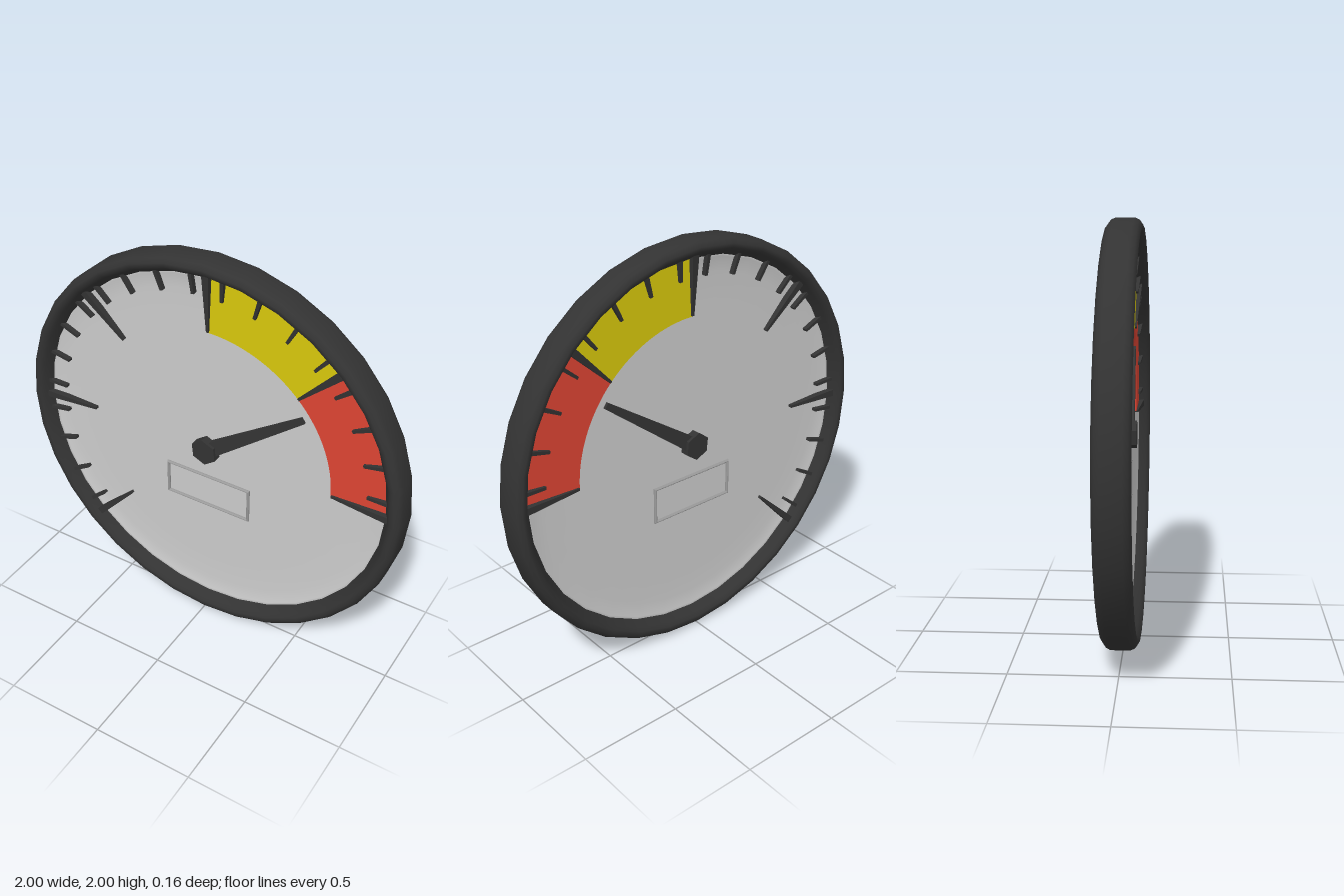
import * as THREE from 'three';

const DARK = 0x333333;
const mat = (color, flatShading = false) => new THREE.MeshStandardMaterial({ color, flatShading });

export function createModel() {
  const gauge = new THREE.Group();
  gauge.name = 'gauge';
  const dark = mat(DARK), darkFlat = mat(DARK, true);
  const add = (name, geometry, material) => {
    const mesh = new THREE.Mesh(geometry, material);
    mesh.name = name;
    gauge.add(mesh);
    return mesh;
  };
  // Surface of revolution about z, profile given as [radius, z]
  const turned = (profile) =>
    new THREE.LatheGeometry(profile.map(([r, z]) => new THREE.Vector2(r, z)), 32).rotateX(Math.PI / 2);

  // Radial bar from r0 to r1 that changes width and depth along its length
  const bar = (r0, r1, w0, w1, d0, d1, degrees) => {
    const g = new THREE.BoxGeometry(1, 1, 1);
    const p = g.attributes.position;
    for (let i = 0; i < p.count; i++) {
      const inner = p.getX(i) < 0;
      p.setXYZ(i, inner ? r0 : r1, p.getY(i) * (inner ? w0 : w1), p.getZ(i) * (inner ? d0 : d1));
    }
    g.computeVertexNormals();
    return g.rotateZ(THREE.MathUtils.degToRad(degrees));
  };

  // Rounded outer rim, the same front and back
  const half = [[1, 0], [1, 0.045], [0.99, 0.066], [0.97, 0.08], [0.95, 0.078], [0.935, 0.06], [0.905, 0.015]];
  const back = half.slice(1).reverse().map(([r, z]) => [r, -z]);
  add('rim', turned([...back, ...half, back[0]]), dark);

  // Thin dial that is slightly dished towards the rim, seen from both sides
  const dish = [[0.93, 0.03], [0.9, 0.018], [0.83, 0.011], [0.7, 0.01], [0, 0.01]];
  add('dial', turned([...dish.map(([r, z]) => [r, -z]).reverse(), ...dish]), mat(0xcccccc));

  // Coloured warning zones
  const zone = (name, from, to, color) => {
    const a = THREE.MathUtils.degToRad(from), b = THREE.MathUtils.degToRad(to);
    const s = new THREE.Shape();
    s.absarc(0, 0, 0.91, a, b, false);
    s.absarc(0, 0, 0.64, b, a, true);
    const g = new THREE.ExtrudeGeometry(s, { depth: 0.044, bevelEnabled: false, curveSegments: 12 });
    add(name, g.translate(0, 0, -0.022), mat(color));
  };
  zone('dangerZone', 0, 45, 0xdd4433);
  zone('cautionZone', 45, 90, 0xd8c80c);

  // Tick marks: a long wedge every 45 degrees with four short ones between
  for (let k = 0; k <= 5; k++) {
    add('majorTick', bar(0.645, 0.94, 0.012, 0.036, 0.06, 0.1, k * 45), dark);
    if (k === 5) break;
    for (const offset of [5, 16.5, 28.5, 40]) {
      add('minorTick', bar(0.82, 0.93, 0.014, 0.018, 0.07, 0.09, k * 45 + offset), dark);
    }
  }

  // Pointer and its hexagonal hub
  const angle = 36;
  add('needle', bar(0, 0.595, 0.075, 0.03, 0.085, 0.05, angle), darkFlat);
  const hub = new THREE.CylinderGeometry(0.068, 0.068, 0.11, 6)
    .rotateX(Math.PI / 2).rotateZ(THREE.MathUtils.degToRad(angle - 30));
  add('needleHub', hub, darkFlat).position.x = -0.008;

  // Raised rectangular frame of the readout, through both faces
  const box = (w, h, Type) => {
    const s = new Type();
    s.moveTo(-w, -h).lineTo(w, -h).lineTo(w, h).lineTo(-w, h).closePath();
    return s;
  };
  const frame = box(0.226, 0.089, THREE.Shape);
  frame.holes.push(box(0.222, 0.085, THREE.Path));
  const frameGeometry = new THREE.ExtrudeGeometry(frame, {
    depth: 0.032, bevelEnabled: true, bevelThickness: 0.006, bevelSize: 0.005, bevelSegments: 1,
  }).translate(0, 0, -0.016);
  add('readoutFrame', frameGeometry, mat(0x999999)).position.set(-0.008, -0.257, 0);

  // Stand the gauge on the ground
  gauge.children.forEach((part) => { part.position.y += 1; });
  return gauge;
}
